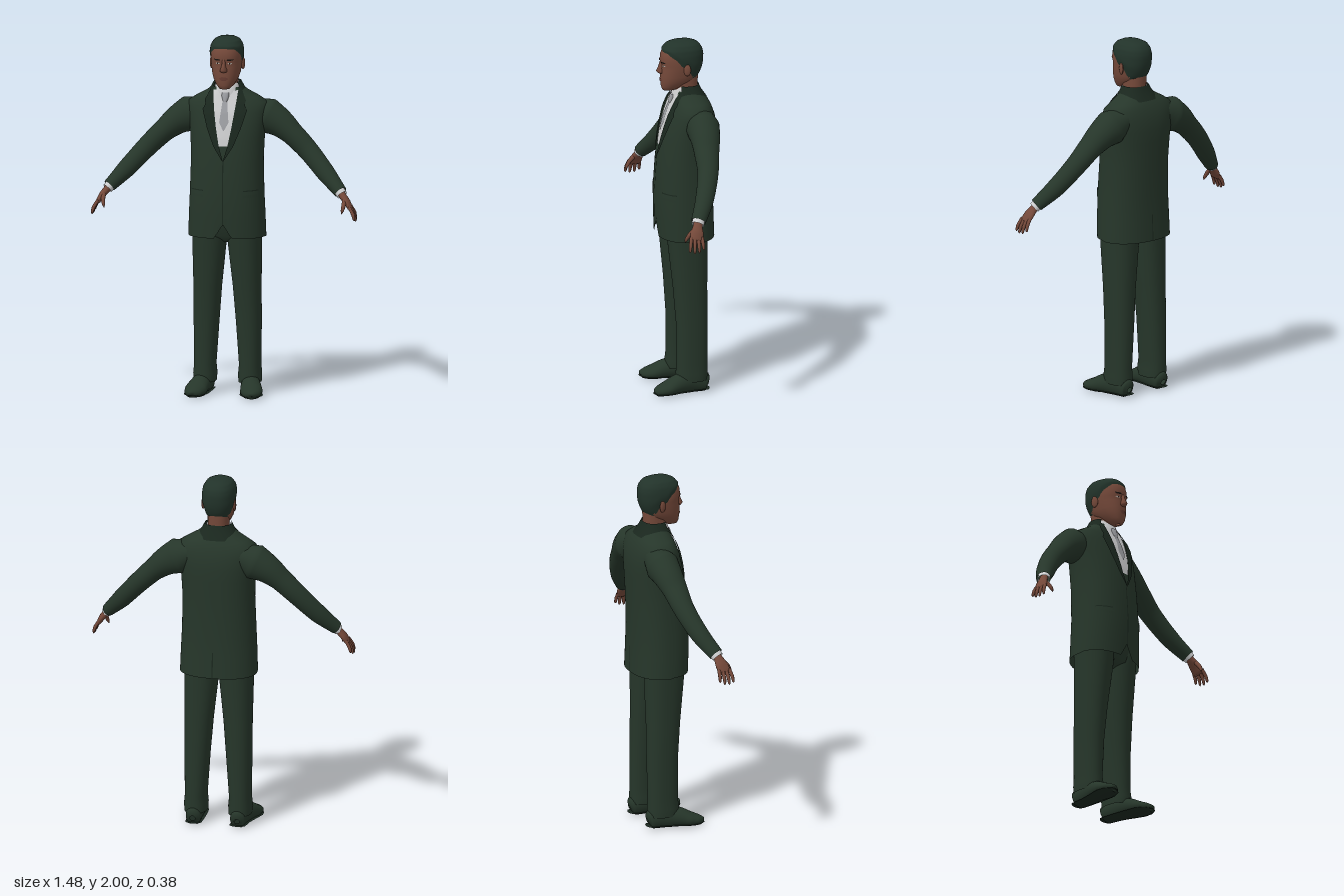
import * as THREE from 'three';
import { mergeVertices } from 'three/addons/utils/BufferGeometryUtils.js';

const paint = (name, color) => new THREE.MeshStandardMaterial({ name, color, side: THREE.DoubleSide });

// Linear lookup in a table of rows whose first number is the key.
function sample(rows, key) {
  let i = 0;
  while (i < rows.length - 2 && key > rows[i + 1][0]) i++;
  const t = THREE.MathUtils.clamp((key - rows[i][0]) / (rows[i + 1][0] - rows[i][0]), 0, 1);
  return rows[i].map((v, k) => THREE.MathUtils.lerp(v, rows[i + 1][k], t));
}

// Surface from fn(u, v) -> [x, y, z]; seams are welded for smooth normals.
function grid(nu, nv, fn) {
  const pos = [], idx = [];
  for (let j = 0; j <= nv; j++) for (let i = 0; i <= nu; i++) pos.push(...fn(i / nu, j / nv));
  for (let j = 0; j < nv; j++) for (let i = 0; i < nu; i++) {
    const a = j * (nu + 1) + i, b = a + nu + 1;
    idx.push(a, a + 1, b + 1, a, b + 1, b);
  }
  const g = new THREE.BufferGeometry();
  g.setAttribute('position', new THREE.Float32BufferAttribute(pos, 3));
  g.setIndex(idx);
  const welded = mergeVertices(g, 1e-5);
  welded.computeVertexNormals();
  return welded;
}

// Upright cross-sections: rows of [y, half width, front z, back z, centre x].
const N = 2.3;
const pow = (v) => Math.sign(v) * Math.abs(v) ** (2 / N);
function ringPoint([y, hw, zf, zb, xc = 0], a, grow = 0) {
  return [xc + (hw + grow) * pow(Math.sin(a)), y, (zf + zb) / 2 + ((zf - zb) / 2 + grow) * pow(Math.cos(a))];
}
function column(rows, a0 = 0, a1 = Math.PI * 2, seg = 40) {
  return grid(seg, rows.length - 1, (u, v) => ringPoint(rows[Math.round(v * (rows.length - 1))], a0 + (a1 - a0) * u));
}

// Thin plate on the front (dir 1) or back (dir -1) of a column: outline rows of [y, x0, x1].
function patch(body, outline, off, dir = 1, nx = 10, ny = 24) {
  const y0 = outline[0][0], y1 = outline.at(-1)[0];
  return grid(nx, ny, (u, v) => {
    const y = y0 + (y1 - y0) * v, [, xa, xb] = sample(outline, y);
    const x = dir > 0 ? xa + (xb - xa) * u : xb + (xa - xb) * u;
    const [, hw, zf, zb] = sample(body, y);
    const bulge = (1 - Math.min(1, Math.abs(x) / hw) ** N) ** (1 / N);
    return [x, y, (zf + zb) / 2 + dir * ((zf - zb) / 2 * bulge + off)];
  });
}

// Elliptical tube through points [x, y, z, thickness radius, width radius].
function limb(points, steps = 20, seg = 20, ref = new THREE.Vector3(0, 0, 1)) {
  const curve = new THREE.CatmullRomCurve3(points.map((p) => new THREE.Vector3(p[0], p[1], p[2])));
  const radii = points.map((p, i) => [i / (points.length - 1), p[3], p[4]]);
  return grid(seg, steps, (u, v) => {
    const t = curve.getTangent(v), [, r1, r2] = sample(radii, v), a = u * Math.PI * 2;
    const b = ref.clone().addScaledVector(t, -ref.dot(t)).normalize();
    const n = b.clone().cross(t);
    return curve.getPoint(v).addScaledVector(n, Math.cos(a) * r1).addScaledVector(b, Math.sin(a) * r2).toArray();
  });
}

function clampY(g, lo, hi) {
  const p = g.attributes.position;
  for (let i = 0; i < p.count; i++) p.setY(i, THREE.MathUtils.clamp(p.getY(i), lo, hi));
  g.computeVertexNormals();
  return g;
}

// Mirrored copy across x = 0 with the corner order turned round.
function mirror(g) {
  const m = g.clone().scale(-1, 1, 1), ix = m.index;
  for (let i = 0; i < ix.count; i += 3) {
    const a = ix.getX(i);
    ix.setX(i, ix.getX(i + 1));
    ix.setX(i + 1, a);
  }
  m.computeVertexNormals();
  return m;
}

const TORSO = [[0.88, 0.215, 0.138, -0.18], [1.0, 0.211, 0.143, -0.176], [1.13, 0.205, 0.145, -0.173],
  [1.315, 0.2, 0.133, -0.178], [1.44, 0.205, 0.115, -0.184], [1.51, 0.214, 0.1, -0.186], [1.58, 0.222, 0.08, -0.18],
  [1.63, 0.218, 0.06, -0.162], [1.66, 0.17, 0.048, -0.147], [1.69, 0.115, 0.038, -0.125], [1.715, 0.085, 0.03, -0.1]];
const HEAD = [[1.712, 0.005, 0.09, 0.06], [1.717, 0.03, 0.102, 0.03], [1.738, 0.05, 0.109, -0.02], [1.77, 0.068, 0.112, -0.07],
  [1.8, 0.077, 0.112, -0.098], [1.84, 0.083, 0.11, -0.111], [1.865, 0.086, 0.107, -0.117], [1.885, 0.087, 0.115, -0.119],
  [1.92, 0.086, 0.111, -0.12], [1.95, 0.08, 0.1, -0.112], [1.975, 0.064, 0.076, -0.092], [1.988, 0.038, 0.045, -0.06],
  [1.994, 0.001, -0.008, -0.01]];
const LEG = [[0.065, 0.063, 0.052, -0.12, 0.125], [0.11, 0.065, 0.056, -0.122, 0.125], [0.16, 0.06, 0.05, -0.12, 0.125],
  [0.4, 0.07, 0.053, -0.123, 0.118], [0.6, 0.078, 0.068, -0.122, 0.11], [0.86, 0.094, 0.095, -0.127, 0.098],
  [0.96, 0.096, 0.1, -0.13, 0.1]];

export function createModel() {
  const root = new THREE.Group();
  root.name = 'suitedMan';
  const suit = paint('suit green', 0x26362a), trim = paint('dark green trim', 0x1a271e), hairMat = paint('hair', 0x22332a);
  const skin = paint('skin', 0x75493a), lips = paint('lips', 0x663c32), shirt = paint('shirt white', 0xcdcecf);
  const tieMat = paint('tie grey', 0x9b9da1), eyeMat = paint('eye white', 0xa9a199), dark = paint('pupil', 0x1a1512);
  const add = (name, geo, mat) => {
    const m = new THREE.Mesh(geo, mat);
    m.name = name;
    root.add(m);
  };
  const pair = (name, geo, mat) => {
    add('left' + name, geo, mat);
    add('right' + name, mirror(geo), mat);
  };

  // Jacket body, with the front hem cut away at the centre
  const jacket = column(TORSO, 0, Math.PI * 2, 64), jp = jacket.attributes.position;
  for (let i = 0; i < jp.count; i++) {
    if (jp.getY(i) < 0.9 && jp.getZ(i) > 0) jp.setY(i, 0.885 + 0.08 * Math.max(0, 1 - Math.abs(jp.getX(i)) / 0.05));
  }
  jacket.computeVertexNormals();
  add('jacket', jacket, suit);
  add('jacketCollar', column([[1.67, 0.125, 0.045, -0.143], [1.71, 0.093, 0.04, -0.115], [1.745, 0.074, 0.03, -0.1]], 0.9, Math.PI * 2 - 0.9), trim);
  add('frontSeam', patch(TORSO, [[0.96, -0.003, 0.003], [1.33, -0.003, 0.003]], 0.002, 1, 2), trim);
  add('backVent', patch(TORSO, [[0.885, -0.003, 0.003], [1.03, -0.003, 0.003]], 0.002, -1, 2), trim);
  pair('Lapel', patch(TORSO, [[1.32, 0, 0.004], [1.4, 0.024, 0.055], [1.5, 0.043, 0.095], [1.6, 0.058, 0.125],
    [1.625, 0.061, 0.105], [1.64, 0.063, 0.118], [1.712, 0.07, 0.083]], 0.009), trim);
  pair('PocketFlap', patch(TORSO, [[1.115, 0.11, 0.185], [1.15, 0.112, 0.185]], 0.004), suit);
  pair('PocketSeam', patch(TORSO, [[1.15, 0.112, 0.187], [1.156, 0.112, 0.187]], 0.005, 1, 10, 2), trim);

  // Shirt and tie
  add('shirtFront', patch(TORSO, [[1.4, -0.03, 0.03], [1.5, -0.05, 0.05], [1.7, -0.074, 0.074]], 0.004), shirt);
  add('shirtCollar', column([[1.67, 0.075, 0.05, -0.1], [1.7, 0.071, 0.046, -0.1], [1.738, 0.066, 0.03, -0.096]]), shirt);
  add('tie', patch(TORSO, [[1.485, -0.002, 0.002], [1.53, -0.026, 0.026], [1.645, -0.013, 0.013]], 0.009), tieMat);
  add('tieKnot', column([[1.64, 0.013, 0.068, 0.03], [1.67, 0.021, 0.064, 0.03], [1.69, 0.02, 0.056, 0.03]], 0, Math.PI * 2, 16), tieMat);

  // Sleeves and cuffs
  pair('Sleeve', limb([[0.12, 1.585, -0.08, 0.06, 0.07], [0.215, 1.545, -0.075, 0.1, 0.092], [0.285, 1.508, -0.07, 0.08, 0.082],
    [0.355, 1.452, -0.06, 0.063, 0.07], [0.445, 1.365, -0.045, 0.057, 0.058], [0.555, 1.245, 0.003, 0.051, 0.051],
    [0.645, 1.152, 0.06, 0.036, 0.041]], 36, 28), suit);
  pair('Cuff', limb([[0.62, 1.178, 0.045, 0.031, 0.035], [0.655, 1.138, 0.067, 0.029, 0.034]], 2), shirt);

  // Hands
  pair('Palm', limb([[0.635, 1.16, 0.055, 0.02, 0.024], [0.66, 1.13, 0.068, 0.02, 0.026], [0.684, 1.1, 0.077, 0.018, 0.036],
    [0.703, 1.068, 0.086, 0.013, 0.037], [0.71, 1.055, 0.088, 0.002, 0.03]]), skin);
  for (let f = 0; f < 4; f++) {
    const o = (f - 1.5) * 0.02, len = [0.8, 0.97, 1, 0.9][f];
    pair('Finger' + (f + 1), limb([[0.7, 1.08, 0.084 + o, 0.009, 0.01], [0.7 + 0.026 * len, 1.08 - 0.045 * len, 0.088 + o * 1.2, 0.01, 0.01],
      [0.7 + 0.034 * len, 1.08 - 0.075 * len, 0.089 + o * 1.3, 0.007, 0.007], [0.7 + 0.036 * len, 1.08 - 0.083 * len, 0.089 + o * 1.3, 0.001, 0.001]], 10, 10), skin);
  }
  pair('Thumb', limb([[0.67, 1.12, 0.085, 0.012, 0.012], [0.671, 1.088, 0.118, 0.012, 0.012], [0.666, 1.06, 0.135, 0.009, 0.009],
    [0.662, 1.042, 0.14, 0.001, 0.001]], 10, 10, new THREE.Vector3(1, 0, 0)), skin);

  // Trousers
  pair('TrouserLeg', column(LEG), suit);
  add('trouserSeat', column([[0.85, 0.04, 0.03, -0.07], [0.89, 0.17, 0.09, -0.12], [1.0, 0.19, 0.11, -0.14]]), suit);

  // Shoes and soles, toes turned slightly out
  const shoe = (grow) => limb([[0.125, 0.04, -0.126, 0.015, 0.015], [0.125, 0.045, -0.112, 0.055, 0.042], [0.13, 0.055, -0.03, 0.065, 0.047],
    [0.142, 0.05, 0.045, 0.055, 0.056], [0.155, 0.033, 0.11, 0.04, 0.063], [0.165, 0.024, 0.158, 0.028, 0.049],
    [0.17, 0.018, 0.184, 0.018, 0.02], [0.17, 0.016, 0.187, 0.001, 0.001]].map((p) => [p[0], p[1], p[2], p[3] + grow, p[4] + grow]),
    30, 24, new THREE.Vector3(-1, 0, 0));
  pair('Shoe', clampY(shoe(0), 0.003, 1), suit);
  pair('Sole', clampY(shoe(0.003), 0, 0.012), trim);

  // Neck and head
  add('neck', column([[1.66, 0.058, 0.04, -0.09], [1.73, 0.058, 0.04, -0.095], [1.8, 0.06, 0.05, -0.098]]), skin);
  add('head', column(HEAD), skin);
  add('nose', column([[1.81, 0.006, 0.115, 0.08], [1.815, 0.019, 0.127, 0.08], [1.827, 0.019, 0.137, 0.08], [1.85, 0.011, 0.127, 0.08],
    [1.885, 0.009, 0.115, 0.08]], 0, Math.PI * 2, 20), skin);
  pair('Ear', new THREE.SphereGeometry(1, 14, 10).scale(0.009, 0.034, 0.02).rotateY(-0.3).translate(0.088, 1.845, -0.018), skin);

  // Face details
  pair('Eyebrow', patch(HEAD, [[1.878, 0.016, 0.05], [1.886, 0.022, 0.055]], 0.003, 1, 8, 3), dark);
  pair('Eye', patch(HEAD, [[1.857, 0.028, 0.038], [1.861, 0.021, 0.047], [1.866, 0.027, 0.041]], 0.002, 1, 8, 8), eyeMat);
  pair('Pupil', patch(HEAD, [[1.857, 0.031, 0.036], [1.866, 0.03, 0.037]], 0.004, 1, 3, 4), dark);
  add('mouth', patch(HEAD, [[1.766, -0.012, 0.012], [1.777, -0.028, 0.028], [1.786, -0.01, 0.01]], 0.003, 1, 10, 10), lips);

  // Short hair: a shell over the skull with a hairline that drops behind the ears
  const hairline = [[0, 1.942], [0.7, 1.937], [1.05, 1.915], [1.3, 1.9], [1.5, 1.86], [1.75, 1.85], [2.0, 1.81], [2.4, 1.775], [Math.PI, 1.765]];
  add('hair', grid(56, 22, (u, v) => {
    const a = (u - 0.5) * Math.PI * 2, low = sample(hairline, Math.abs(a))[1];
    const y = low + (1.994 - low) * (1 - (1 - v) ** 2);
    const p = ringPoint(sample(HEAD, y), a, 0.007 * Math.min(1, v * 6) * (1 - v ** 8));
    p[1] += 0.006 * v;
    return p;
  }), hairMat);
  return root;
}
